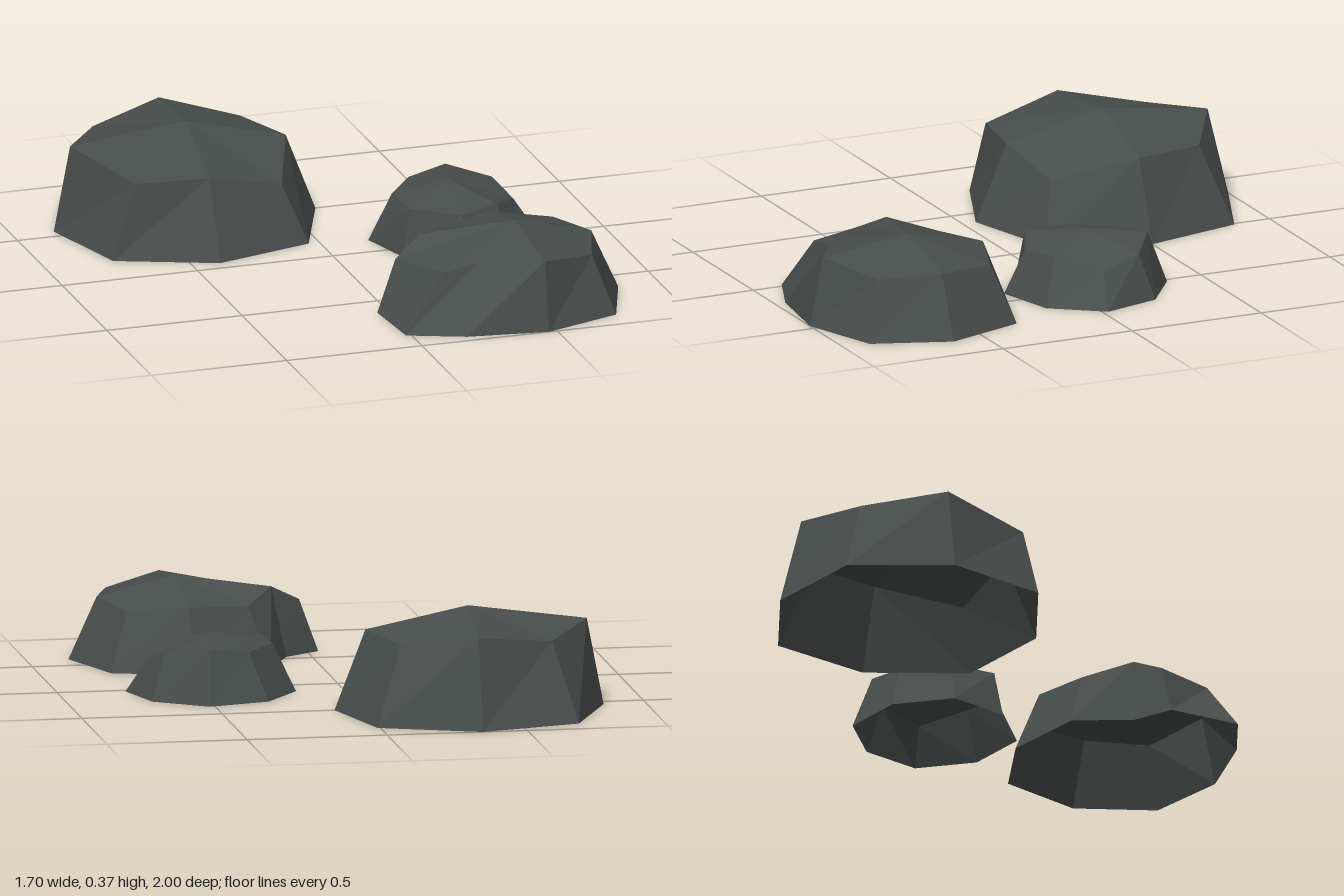
import * as THREE from 'three';

// Each rock: apex [x, y, z] and rim points [baseX, baseZ, shoulderX, shoulderY, shoulderZ]
const ROCKS = {
  largeRock: {
    apex: [-0.37, 0.365, -0.53],
    rim: [
      [-0.34, -1.0, -0.34, 0.32, -0.92],
      [0.01, -0.86, -0.09, 0.275, -0.77],
      [0.1, -0.5, -0.01, 0.285, -0.5],
      [-0.04, -0.15, -0.12, 0.21, -0.21],
      [-0.4, -0.05, -0.4, 0.275, -0.17],
      [-0.75, -0.19, -0.66, 0.27, -0.21],
      [-0.85, -0.55, -0.79, 0.31, -0.55],
      [-0.7, -0.9, -0.62, 0.28, -0.81],
    ],
  },
  smallRock: {
    apex: [0.45, 0.215, -0.07],
    rim: [
      [0.52, -0.36, 0.51, 0.19, -0.29],
      [0.7, -0.23, 0.65, 0.16, -0.19],
      [0.76, -0.02, 0.68, 0.125, -0.04],
      [0.63, 0.16, 0.57, 0.165, 0.1],
      [0.41, 0.22, 0.43, 0.155, 0.15],
      [0.23, 0.09, 0.26, 0.17, 0.07],
      [0.17, -0.12, 0.25, 0.17, -0.1],
      [0.3, -0.3, 0.36, 0.17, -0.25],
    ],
  },
  frontRock: {
    apex: [0.47, 0.29, 0.62],
    rim: [
      [0.47, 0.24, 0.47, 0.225, 0.33],
      [0.75, 0.33, 0.68, 0.205, 0.4],
      [0.85, 0.62, 0.75, 0.22, 0.62],
      [0.75, 0.9, 0.68, 0.21, 0.84],
      [0.47, 1.0, 0.47, 0.245, 0.95],
      [0.18, 0.96, 0.26, 0.22, 0.83],
      [-0.02, 0.88, 0.14, 0.2, 0.83],
      [-0.04, 0.62, 0.03, 0.19, 0.61],
      [0.09, 0.53, 0.14, 0.25, 0.55],
      [0.18, 0.33, 0.25, 0.21, 0.4],
    ],
  },
};

// Hollow rock shell: sloped walls up to the shoulder, then a faceted cap
function rockGeometry({ apex, rim }) {
  const positions = [];
  rim.forEach((point, i) => {
    const next = rim[(i + 1) % rim.length];
    const base = (p) => [p[0], 0, p[1]];
    const shoulder = (p) => p.slice(2);
    positions.push(
      ...base(next), ...base(point), ...shoulder(point),
      ...base(next), ...shoulder(point), ...shoulder(next),
      ...shoulder(next), ...shoulder(point), ...apex,
    );
  });
  const geometry = new THREE.BufferGeometry();
  geometry.setAttribute('position', new THREE.Float32BufferAttribute(positions, 3));
  geometry.computeVertexNormals();
  return geometry;
}

export function createModel() {
  const group = new THREE.Group();
  group.name = 'rocks';
  const stone = new THREE.MeshStandardMaterial({
    color: 0x484e4c, flatShading: true, side: THREE.DoubleSide,
  });
  stone.name = 'dark stone';
  for (const [name, rock] of Object.entries(ROCKS)) {
    const mesh = new THREE.Mesh(rockGeometry(rock), stone);
    mesh.name = name;
    group.add(mesh);
  }
  return group;
}
